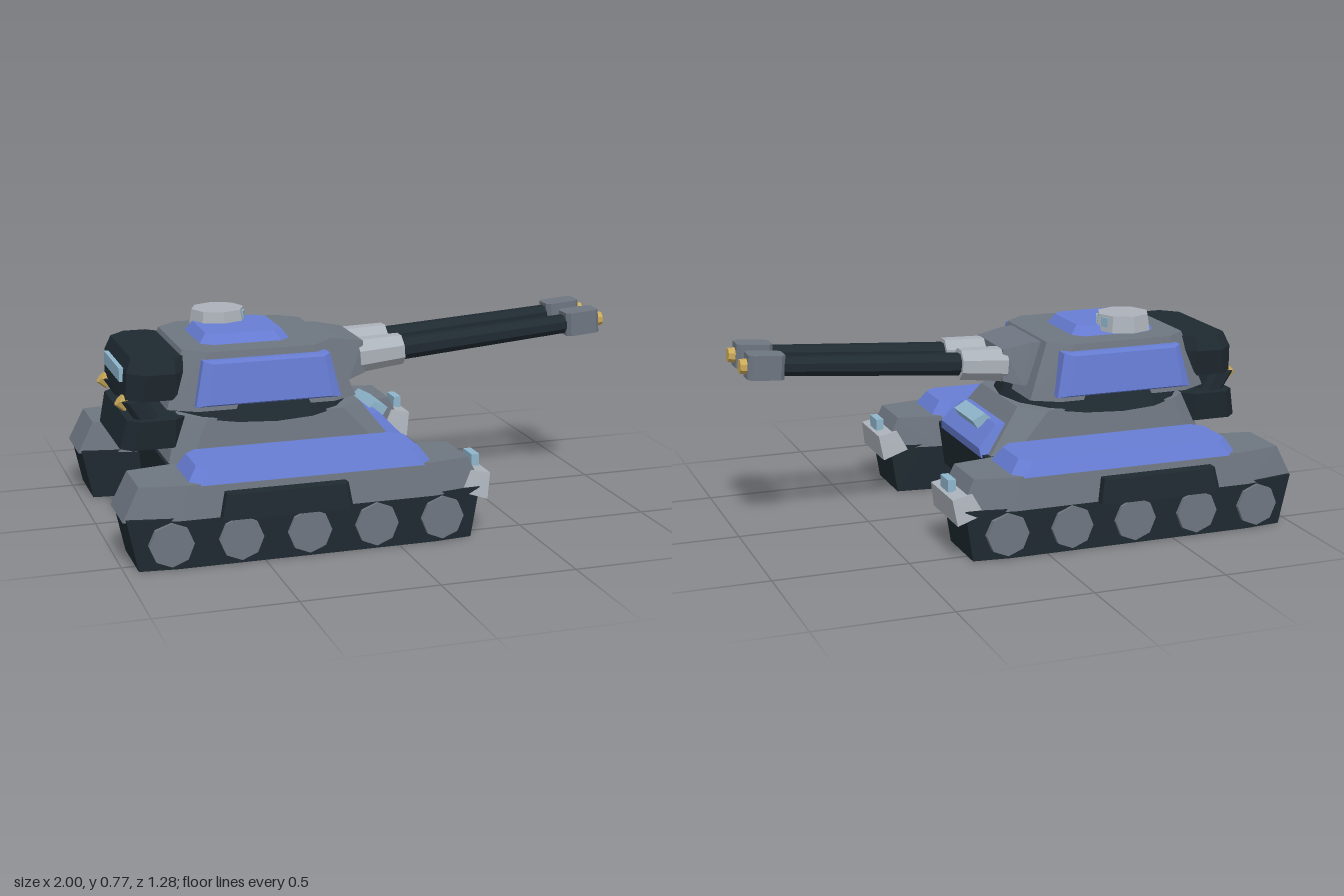
import * as THREE from 'three';
import { ConvexGeometry } from 'three/addons/geometries/ConvexGeometry.js';

const mat = (name, color) => {
  const m = new THREE.MeshStandardMaterial({ color, flatShading: true });
  m.name = name;
  return m;
};

// Chamfered rectangle at height y: four corners cut by cx along x and cz along z
function ring(y, x0, x1, z0, z1, cx = 0.02, cz = cx) {
  return [
    [x0 + cx, y, z0], [x1 - cx, y, z0], [x1, y, z0 + cz], [x1, y, z1 - cz],
    [x1 - cx, y, z1], [x0 + cx, y, z1], [x0, y, z1 - cz], [x0, y, z0 + cz],
  ];
}

// Profile point [x, y] spread to two z values
const pair = (x, y, z0, z1) => [[x, y, z0], [x, y, z1]];

export function createModel() {
  const model = new THREE.Group();
  model.name = 'tank';
  const grey = mat('armourGrey', 0x6e7681);
  const dark = mat('darkSteel', 0x1f2a31);
  const blue = mat('panelBlue', 0x677dd4);
  const light = mat('lightGrey', 0xacb2ba);
  const glass = mat('paleGlass', 0x8fb5cc);
  const gold = mat('brass', 0xcbaa5a);

  const add = (name, geo, material, parent = model) => {
    const mesh = new THREE.Mesh(geo, material);
    mesh.name = name;
    parent.add(mesh);
    return mesh;
  };
  const hull = (name, material, points, parent) =>
    add(name, new ConvexGeometry(points.map((p) => new THREE.Vector3(...p))), material, parent);
  const box = (name, material, size, pos, parent) => {
    const mesh = add(name, new THREE.BoxGeometry(...size), material, parent);
    mesh.position.set(...pos);
    return mesh;
  };
  // Cylinder lying along x from x0 to x1
  const rod = (name, material, r0, r1, x0, x1, sides, parent) => {
    const geo = new THREE.CylinderGeometry(r1, r0, x1 - x0, sides);
    geo.rotateY(Math.PI / sides).rotateZ(-Math.PI / 2).translate((x0 + x1) / 2, 0, 0);
    return add(name, geo, material, parent);
  };

  // Chassis and sloped upper hull
  hull('chassis', dark, [
    ...ring(0.115, -0.77, 0.1, -0.295, 0.295, 0.03),
    ...ring(0.285, -0.78, 0.12, -0.305, 0.305, 0.03),
  ]);
  hull('upperHull', grey, [
    ...ring(0.28, -0.77, 0.1, -0.31, 0.31, 0.06),
    ...ring(0.45, -0.72, -0.03, -0.285, 0.285, 0.09),
  ]);
  hull('frontPlate', blue, [
    ...pair(0.0, 0.275, -0.225, 0.225), ...pair(0.125, 0.275, -0.225, 0.225),
    ...pair(0.13, 0.31, -0.215, 0.215), ...pair(0.055, 0.39, -0.19, 0.19),
    ...pair(0.0, 0.39, -0.19, 0.19),
  ]);
  hull('frontVision', glass, [
    ...pair(0.04, 0.39, -0.105, 0.105), ...pair(0.065, 0.412, -0.105, 0.105),
    ...pair(0.115, 0.385, -0.105, 0.105), ...pair(0.095, 0.355, -0.105, 0.105),
  ]);

  // Track units, one on each side
  for (const s of [1, -1]) {
    const side = new THREE.Group();
    side.name = s > 0 ? 'leftTrackUnit' : 'rightTrackUnit';
    model.add(side);
    const span = (y, x0, x1, zi, zo, cx, cz) =>
      ring(y, x0, x1, Math.min(s * zi, s * zo), Math.max(s * zi, s * zo), cx, cz);
    hull('track', dark, [
      ...span(0, -0.95, 0.28, 0.305, 0.575, 0.14, 0.015),
      ...span(0.19, -0.99, 0.31, 0.3, 0.585, 0.14, 0.02),
    ], side);
    hull('skirt', grey, [
      ...span(0.18, -1, 0.33, 0.29, 0.592, 0.2, 0.04),
      ...span(0.3, -0.94, 0.27, 0.305, 0.575, 0.16, 0.03),
    ], side);
    hull('topPanel', blue, [
      ...span(0.295, -0.765, 0.13, 0.295, 0.58, 0.04),
      ...span(0.35, -0.73, 0.09, 0.315, 0.555, 0.04),
    ], side);
    hull('noseGuard', light, [
      ...pair(0.24, 0.175, s * 0.305, s * 0.57), ...pair(0.34, 0.14, s * 0.305, s * 0.57),
      ...pair(0.355, 0.235, s * 0.32, s * 0.555), ...pair(0.28, 0.25, s * 0.32, s * 0.555),
    ], side);
    box('headlamp', glass, [0.03, 0.045, 0.085], [0.328, 0.262, s * 0.433], side);
    hull('sideBox', dark, [
      ...span(0.18, -0.665, -0.19, 0.56, 0.638, 0.015),
      ...span(0.27, -0.645, -0.205, 0.56, 0.63, 0.015),
    ], side);
    for (let i = 0; i < 5; i++) {
      const geo = new THREE.CylinderGeometry(0.08, 0.08, 0.04, 8).rotateX(Math.PI / 2);
      add('roadWheel', geo, grey, side).position.set(-0.838 + i * 0.249, 0.096, s * 0.576);
    }
  }

  // Turret
  const turret = new THREE.Group();
  turret.name = 'turret';
  model.add(turret);
  add('turretRing', new THREE.CylinderGeometry(0.335, 0.36, 0.058, 16), dark, turret)
    .position.set(-0.39, 0.471, 0);
  hull('turretBody', grey, [
    ...ring(0.485, -0.77, -0.06, -0.31, 0.31, 0.1, 0.06),
    ...ring(0.69, -0.7, -0.145, -0.27, 0.27, 0.08, 0.07),
  ], turret);
  hull('mantlet', grey, [
    ...pair(-0.2, 0.52, -0.175, 0.175), ...pair(-0.2, 0.685, -0.15, 0.15),
    ...pair(-0.06, 0.525, -0.175, 0.175), ...pair(-0.1, 0.68, -0.15, 0.15),
    ...pair(0.01, 0.54, -0.145, 0.145), ...pair(0.005, 0.66, -0.135, 0.135),
  ], turret);
  for (const s of [1, -1]) {
    hull('turretSidePanel', blue, [
      ...pair(-0.68, 0.505, s * 0.27, s * 0.325), ...pair(-0.14, 0.505, s * 0.27, s * 0.325),
      ...pair(-0.645, 0.665, s * 0.25, s * 0.3), ...pair(-0.175, 0.665, s * 0.25, s * 0.3),
      [-0.64, 0.515, s * 0.348], [-0.18, 0.515, s * 0.348],
      [-0.615, 0.66, s * 0.332], [-0.205, 0.66, s * 0.332],
    ], turret);
  }
  hull('roofPanel', blue, [
    ...ring(0.685, -0.62, -0.275, -0.165, 0.165, 0.04),
    ...ring(0.725, -0.59, -0.305, -0.14, 0.14, 0.035),
  ], turret);

  // Hatch with two small vision blocks
  const hatch = new THREE.Group();
  hatch.name = 'hatch';
  hatch.position.set(-0.487, 0.735, -0.127);
  turret.add(hatch);
  add('hatchDrum', new THREE.CylinderGeometry(0.1, 0.11, 0.062, 8), light, hatch);
  for (const a of [Math.PI / 8, -Math.PI / 8]) {
    box('hatchVision', glass, [0.008, 0.036, 0.034],
      [Math.cos(a) * 0.097, 0.004, -Math.sin(a) * 0.097], hatch).rotation.y = a;
  }

  // Rear stowage and engine boxes
  hull('rearBustle', dark, [
    ...ring(0.52, -0.91, -0.68, -0.25, 0.25, 0.05),
    ...ring(0.62, -0.905, -0.68, -0.27, 0.27, 0.06),
    ...ring(0.672, -0.885, -0.68, -0.25, 0.25, 0.06),
  ], turret);
  box('rearVision', glass, [0.03, 0.05, 0.29], [-0.905, 0.6, 0], turret);
  hull('engineBox', dark, [
    ...ring(0.34, -0.935, -0.7, -0.24, 0.24, 0.04),
    ...ring(0.45, -0.91, -0.7, -0.26, 0.26, 0.04),
  ]);
  for (const s of [1, -1]) {
    hull('exhaust', dark, [
      ...ring(0.43, -0.87, -0.78, s * 0.175 - 0.05, s * 0.175 + 0.05, 0.02),
      ...ring(0.515, -0.925, -0.83, s * 0.175 - 0.05, s * 0.175 + 0.05, 0.02),
    ]);
    const tip = add('exhaustTip', new THREE.CylinderGeometry(0.024, 0.024, 0.04, 8), gold);
    tip.position.set(-0.915, 0.505, s * 0.175);
    tip.rotation.z = 0.9;
  }

  // Twin guns, tilted slightly upward
  for (const s of [1, -1]) {
    const gun = new THREE.Group();
    gun.name = s > 0 ? 'leftGun' : 'rightGun';
    gun.position.set(0, 0.597, s * 0.094);
    gun.rotation.z = 0.074;
    model.add(gun);
    rod('gunSleeve', light, 0.068, 0.06, -0.01, 0.168, 8, gun);
    rod('barrel', dark, 0.044, 0.037, 0.16, 0.86, 8, gun);
    const muzzle = hull('muzzle', grey, [
      ...ring(-0.045, 0.84, 0.975, -0.047, 0.047, 0.015),
      ...ring(0.045, 0.84, 0.975, -0.047, 0.047, 0.015),
    ], gun);
    muzzle.position.y = 0.002;
    rod('muzzleTip', gold, 0.03, 0.026, 0.97, 1.0, 8, gun);
  }

  return model;
}
